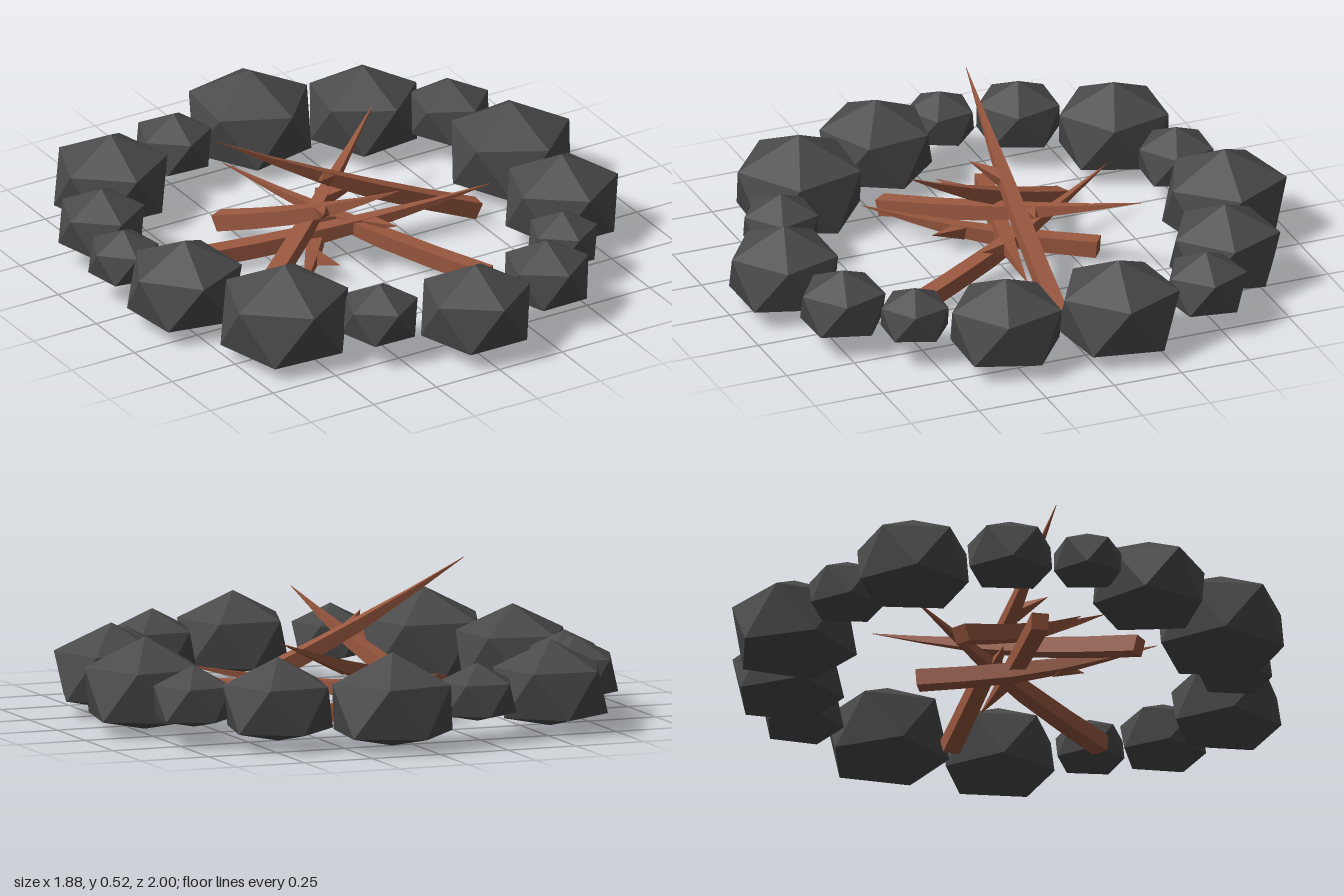
import * as THREE from 'three';

const stoneMaterial = new THREE.MeshStandardMaterial({ color: 0x4a4a4a, flatShading: true });
const woodMaterial = new THREE.MeshStandardMaterial({ color: 0x9a583f, flatShading: true });

// Squashed icosahedron of unit radius, one corner up, with a heavier underside
function makeStoneGeometry() {
  const geo = new THREE.IcosahedronGeometry(1, 0);
  geo.rotateZ(Math.atan(2 / (1 + Math.sqrt(5))));
  const pos = geo.attributes.position;
  for (let i = 0; i < pos.count; i++) {
    const y = pos.getY(i);
    const level = Math.abs(y) > 0.9 ? Math.sign(y) : y > 0 ? 0.36 : -0.72;
    pos.setXYZ(i, pos.getX(i) / 0.89, level * 0.76, pos.getZ(i) / 0.89);
  }
  geo.computeVertexNormals();
  return geo;
}

// Square stick along +z: even thickness at the butt, then tapering to a point
function makeStick(base, tip, side) {
  const start = new THREE.Vector3(...base);
  const end = new THREE.Vector3(...tip);
  const length = start.distanceTo(end);
  const stick = new THREE.Group();
  const sag = (t) => -0.025 * Math.sin(Math.PI * t);

  const geo = new THREE.CylinderGeometry(1, 1, 1, 4, 5);
  geo.rotateY(Math.PI / 4).translate(0, 0.5, 0).rotateX(Math.PI / 2);
  const pos = geo.attributes.position;
  for (let i = 0; i < pos.count; i++) {
    const t = pos.getZ(i);
    const r = t < 0.5 ? 0.042 - 0.01 * t : Math.max(0.001, 0.074 * (1 - t));
    pos.setXYZ(i, pos.getX(i) * r, pos.getY(i) * r + sag(t), t * length);
  }
  geo.computeVertexNormals();
  const shaft = new THREE.Mesh(geo, woodMaterial);
  shaft.name = 'shaft';

  // Short broken twig leaning towards the tip
  const twig = new THREE.Mesh(new THREE.ConeGeometry(0.032, 0.13, 4).translate(0, 0.055, 0), woodMaterial);
  twig.name = 'twig';
  twig.position.set(side * 0.015, sag(0.58), length * 0.58);
  twig.quaternion.setFromUnitVectors(
    new THREE.Vector3(0, 1, 0), new THREE.Vector3(side * 0.75, 0.1, 0.65).normalize());

  stick.add(shaft, twig);
  stick.position.copy(start);
  stick.lookAt(end);
  return stick;
}

export function createModel() {
  const model = new THREE.Group();
  model.name = 'campfire';

  // Ring of stones: x, z, radius
  const stones = [
    [0.09, -0.79, 0.212], [0.45, -0.64, 0.19], [0.69, -0.47, 0.14],
    [0.73, -0.13, 0.21], [0.69, 0.27, 0.195], [0.53, 0.54, 0.12],
    [0.35, 0.73, 0.148], [0.02, 0.81, 0.19], [-0.29, 0.69, 0.132],
    [-0.56, 0.51, 0.22], [-0.74, 0.15, 0.195], [-0.82, -0.12, 0.12],
    [-0.75, -0.38, 0.148], [-0.55, -0.65, 0.195], [-0.24, -0.75, 0.132],
  ];
  const ring = new THREE.Group();
  ring.name = 'stoneRing';
  const stoneGeometry = makeStoneGeometry();
  stones.forEach(([x, z, r], i) => {
    const stone = new THREE.Mesh(stoneGeometry, stoneMaterial);
    stone.name = `stone${i + 1}`;
    stone.position.set(x, 0.175, z);
    stone.scale.setScalar(r);
    stone.rotation.y = Math.atan2(x, z) + i * 0.4;
    ring.add(stone);
  });

  // Crossed sticks: butt, tip, side of the twig
  const sticks = [
    [[0.51, 0.045, 0], [-0.47, 0.53, -0.07], 1],
    [[-0.5, 0.05, 0.23], [0.33, 0.32, -0.38], -1],
    [[0.28, 0.05, 0.46], [-0.21, 0.2, -0.48], 1],
    [[-0.51, 0.06, -0.15], [0.5, 0.19, 0.11], -1],
    [[0.1, 0.06, -0.32], [-0.39, 0.12, 0.35], 1],
    [[-0.3, 0.06, -0.35], [0, 0.4, 0.34], -1],
  ];
  const pile = new THREE.Group();
  pile.name = 'stickPile';
  sticks.forEach(([base, tip, side], i) => {
    const stick = makeStick(base, tip, side);
    stick.name = `stick${i + 1}`;
    pile.add(stick);
  });

  model.add(ring, pile);
  return model;
}
